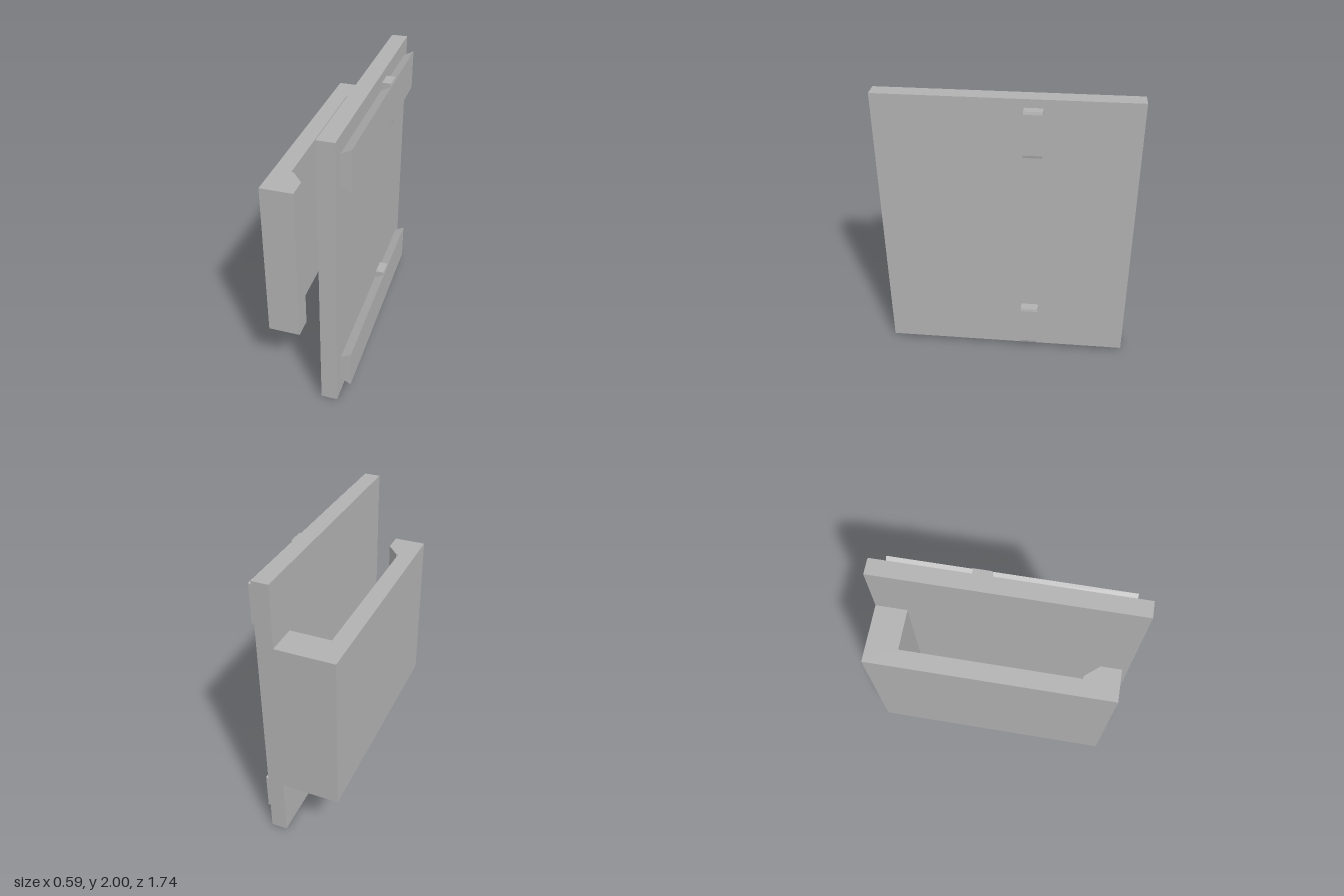
import * as THREE from 'three';

const grey = new THREE.MeshStandardMaterial({ color: 0xb2b2b2 });
grey.name = 'grey';

function part(name, geometry) {
  const mesh = new THREE.Mesh(geometry, grey);
  mesh.name = name;
  return mesh;
}

function prism(points, depth) {
  const shape = new THREE.Shape(points.map(([x, y]) => new THREE.Vector2(x, y)));
  return new THREE.ExtrudeGeometry(shape, { depth, bevelEnabled: false });
}

export function createModel() {
  const model = new THREE.Group();
  model.name = 'clipBracket';

  // Upright plate
  const plate = part('plate', new THREE.BoxGeometry(0.113, 2, 1.74));
  plate.position.set(0.1635, 1, 0);
  model.add(plate);

  // Hooked arm: plan outline in x and z, extruded upwards
  const outline = [
    [-0.295, -0.87], [0.107, -0.87], [0.107, -0.655], [-0.175, -0.655],
    [-0.175, 0.54], [-0.158, 0.54], [-0.073, 0.64], [-0.073, 0.777], [-0.295, 0.777],
  ];
  const arm = part('hookArm', prism(outline.map(([x, z]) => [x, -z]), 1.13).rotateX(-Math.PI / 2));
  arm.position.y = 0.438;
  model.add(arm);

  // Dovetail rails, each with a small locking nub through it
  for (const [name, y] of [['lowerRail', 0.221], ['upperRail', 1.785]]) {
    const rail = new THREE.Group();
    rail.name = name;
    rail.position.y = y;
    const bar = part('dovetailBar', prism(
      [[0.22, -0.101], [0.291, -0.141], [0.291, 0.141], [0.22, 0.101]], 1.564));
    bar.position.z = -0.782;
    const nub = part('lockingNub', prism(
      [[0.226, -0.16], [0.285, -0.16], [0.29, -0.14], [0.29, 0.14], [0.285, 0.16], [0.226, 0.16]], 0.122));
    nub.position.z = -0.236;
    rail.add(bar, nub);
    model.add(rail);
  }

  return model;
}
